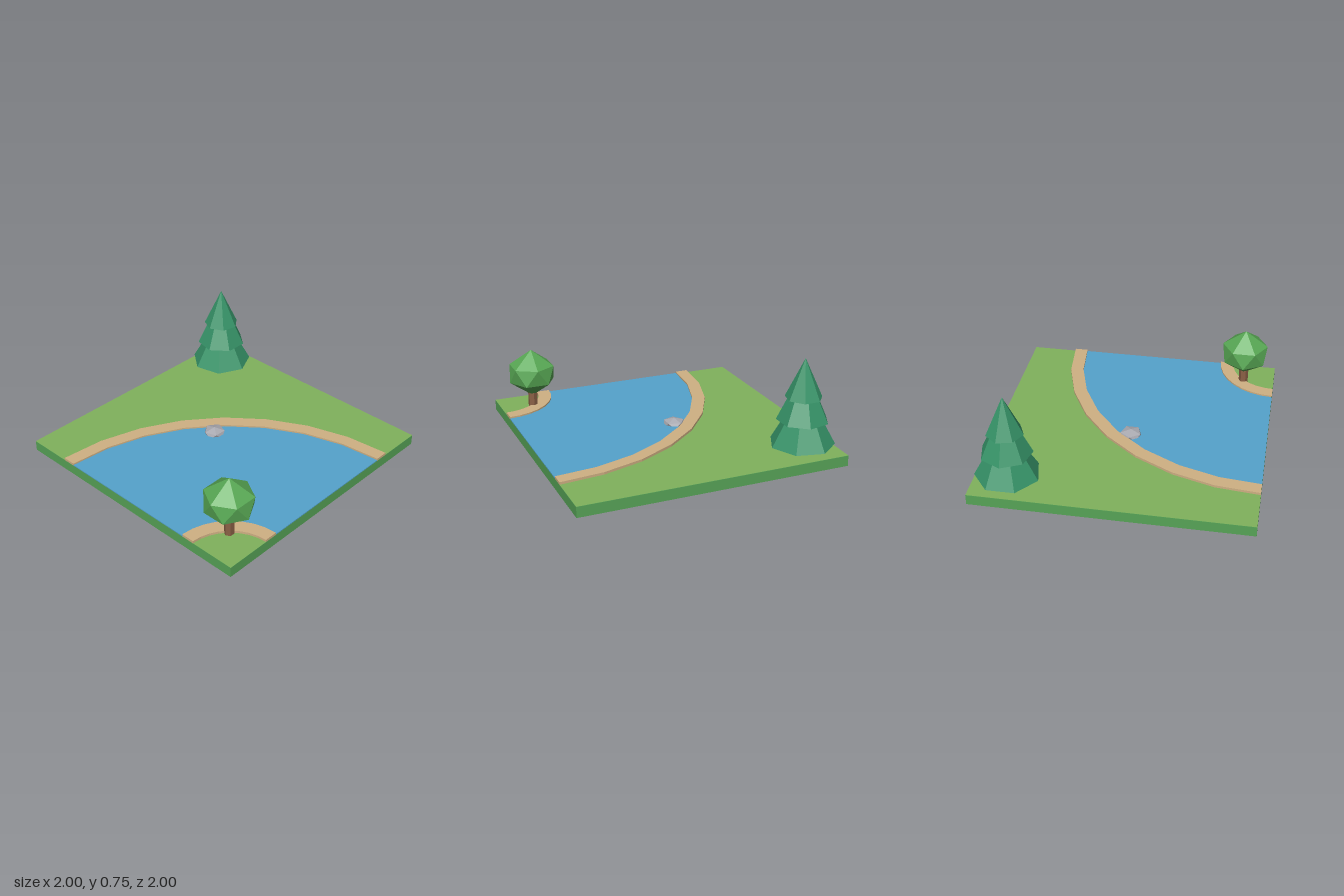
import * as THREE from 'three';

const mat = (color) => new THREE.MeshStandardMaterial({ color, flatShading: true });

function add(parent, name, geometry, material, x = 0, y = 0, z = 0) {
  const mesh = new THREE.Mesh(geometry, material);
  mesh.name = name;
  mesh.position.set(x, y, z);
  parent.add(mesh);
  return mesh;
}

// Quarter ring of 8 straight segments around the origin, extruded upwards
function quarterRing(inner, outer, height) {
  const pts = [];
  const push = (r, i) => {
    const a = Math.PI / 2 + (i / 8) * (Math.PI / 2);
    pts.push(new THREE.Vector2(r * Math.cos(a), r * Math.sin(a)));
  };
  for (let i = 0; i <= 8; i++) push(outer, i);
  for (let i = 8; i >= 0; i--) push(inner, i);
  const geo = new THREE.ExtrudeGeometry(new THREE.Shape(pts), { depth: height, bevelEnabled: false });
  return geo.rotateX(-Math.PI / 2);
}

// Faceted ball: two staggered n-sided rings between a top and a bottom point
function facetedBall(n, radius, halfHeight, ringY, turn) {
  const pos = [];
  const ring = (i, y, shift) => {
    const a = turn + ((i + shift) / n) * Math.PI * 2;
    return [radius * Math.sin(a), y, radius * Math.cos(a)];
  };
  const top = [0, halfHeight, 0];
  const bottom = [0, -halfHeight, 0];
  for (let i = 0; i < n; i++) {
    const u0 = ring(i, ringY, 0), u1 = ring(i + 1, ringY, 0);
    const l0 = ring(i, -ringY, 0.5), l1 = ring(i + 1, -ringY, 0.5);
    pos.push(...top, ...u0, ...u1, ...u0, ...l0, ...u1);
    pos.push(...u1, ...l0, ...l1, ...bottom, ...l1, ...l0);
  }
  const geo = new THREE.BufferGeometry();
  geo.setAttribute('position', new THREE.Float32BufferAttribute(pos, 3));
  geo.computeVertexNormals();
  return geo;
}

export function createModel() {
  const model = new THREE.Group();
  model.name = 'riverBendTile';
  const bark = mat(0x8a6045);
  const sand = mat(0xcfb083);
  const needles = mat(0x369368);

  // Ground slab with a grass surface
  add(model, 'groundSlab', new THREE.BoxGeometry(2, 0.078, 2), mat(0x57a357), 0, 0.039, 0);
  add(model, 'grass', new THREE.PlaneGeometry(2, 2).rotateX(-Math.PI / 2), mat(0x80b25c), 0, 0.08, 0);

  // Curved river with a bank on each side
  add(model, 'water', quarterRing(0.44, 1.56, 0.007), mat(0x54a2cc), 1, 0.079, 1);
  add(model, 'outerBank', quarterRing(1.56, 1.66, 0.019), sand, 1, 0.079, 1);
  add(model, 'innerBank', quarterRing(0.34, 0.44, 0.019), sand, 1, 0.079, 1);

  // Half-sunken stone
  add(model, 'rock', facetedBall(5, 0.078, 0.042, 0.019, -Math.PI / 2), mat(0xa9a9b0), -0.107, 0.087, 0);

  // Conifer: trunk and three stacked cones, [base y, radius, height, turn]
  const conifer = new THREE.Group();
  conifer.name = 'conifer';
  conifer.position.set(-0.76, 0, -0.76);
  model.add(conifer);
  add(conifer, 'coniferTrunk', new THREE.CylinderGeometry(0.042, 0.042, 0.12, 6), bark, 0, 0.14, 0);
  const tiers = [
    [0.12, 0.236, 0.43, Math.PI / 2],
    [0.30, 0.188, 0.4, -Math.PI / 2],
    [0.465, 0.134, 0.29, 0],
  ];
  tiers.forEach(([y, r, h, turn], i) => {
    const cone = new THREE.ConeGeometry(r, h, 7, 1, false, turn);
    add(conifer, 'coniferTier' + (i + 1), cone, needles, 0, y + h / 2, 0);
  });

  // Broadleaf tree: trunk and faceted crown
  const tree = new THREE.Group();
  tree.name = 'broadleafTree';
  tree.position.set(0.76, 0, 0.76);
  model.add(tree);
  add(tree, 'treeTrunk', new THREE.CylinderGeometry(0.036, 0.036, 0.15, 6), bark, 0, 0.155, 0);
  add(tree, 'treeCrown', facetedBall(6, 0.174, 0.185, 0.062, 0), mat(0x58a854), 0, 0.356, 0);

  return model;
}
